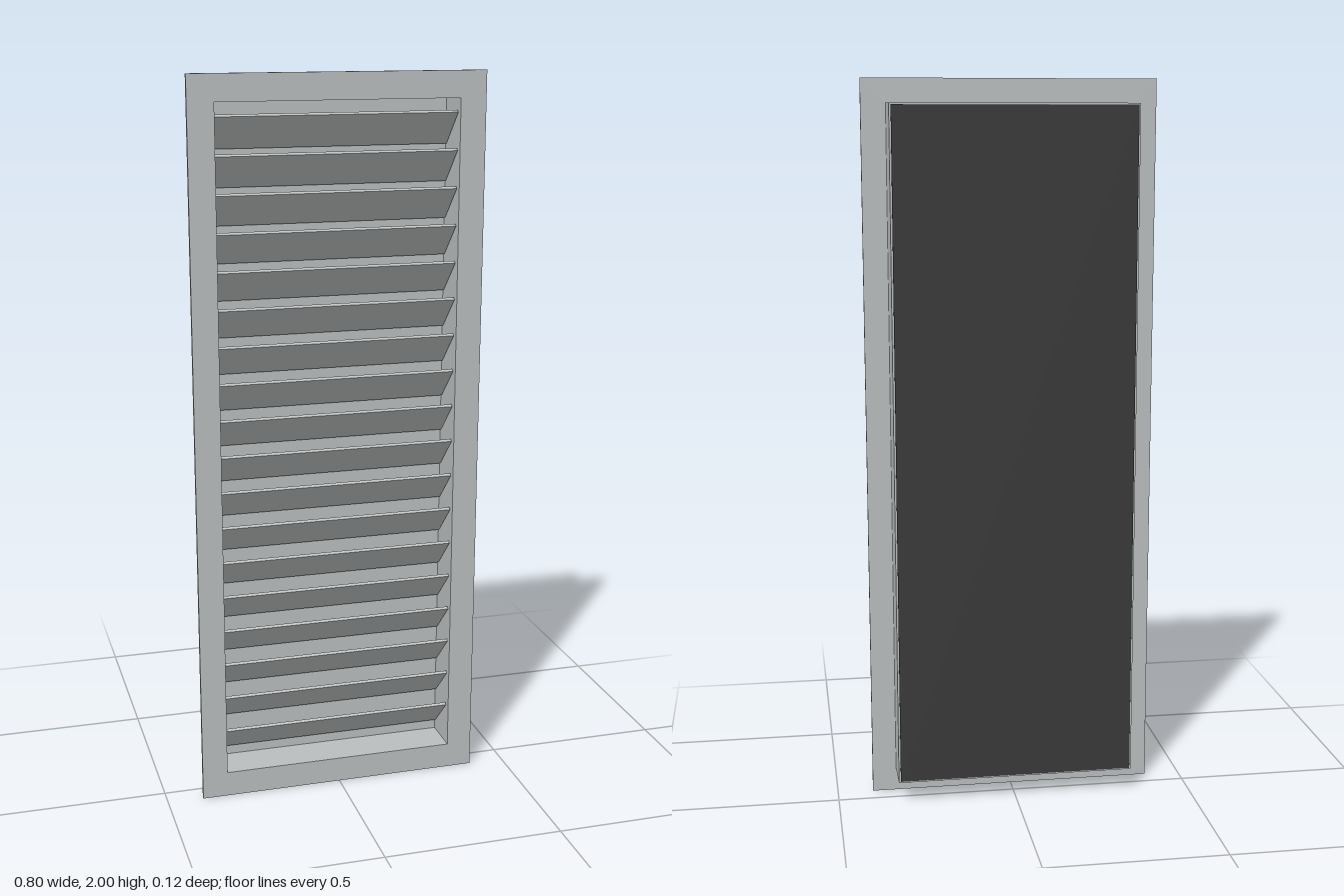
import * as THREE from 'three';

// Rectangular ring with a rectangular hole, extruded along z from z0 to z1
function ring(ow, oh, iw, ih, z0, z1) {
  const rect = (Target, w, h) => new Target([
    new THREE.Vector2(-w / 2, -h / 2), new THREE.Vector2(w / 2, -h / 2),
    new THREE.Vector2(w / 2, h / 2), new THREE.Vector2(-w / 2, h / 2),
  ]);
  const shape = rect(THREE.Shape, ow, oh);
  shape.holes.push(rect(THREE.Path, iw, ih));
  const geo = new THREE.ExtrudeGeometry(shape, { depth: z1 - z0, bevelEnabled: false });
  return geo.translate(0, 0, z0);
}

export function createModel() {
  const group = new THREE.Group();
  group.name = 'louvreVent';

  const grey = new THREE.MeshStandardMaterial({ color: 0xb9bdbd });
  grey.name = 'greyMetal';
  const dark = new THREE.MeshStandardMaterial({ color: 0x383838 });
  dark.name = 'darkScreen';

  const add = (name, geo, mat, y, z = 0) => {
    const mesh = new THREE.Mesh(geo, mat);
    mesh.name = name;
    mesh.position.set(0, y, z);
    group.add(mesh);
    return mesh;
  };

  // Front flange and the sleeve behind it
  add('flange', ring(0.8, 2, 0.658, 1.858, 0.05, 0.06), grey, 1);
  add('sleeve', ring(0.666, 1.87, 0.658, 1.858, -0.057, 0.05), grey, 1);

  // Grey backing inside the sleeve, dark screen behind it
  add('backing', new THREE.BoxGeometry(0.658, 1.858, 0.002), grey, 1, -0.055);
  add('screen', new THREE.BoxGeometry(0.656, 1.86, 0.002), dark, 1, -0.06);

  // Tilted slats, front edge high and back edge low
  const slatGeo = new THREE.BoxGeometry(0.654, 0.008, 0.125);
  for (let i = 0; i < 18; i++) {
    add('slat' + (i + 1), slatGeo, grey, 0.15 + i * 0.1).rotation.x = -Math.PI / 4;
  }
  return group;
}
